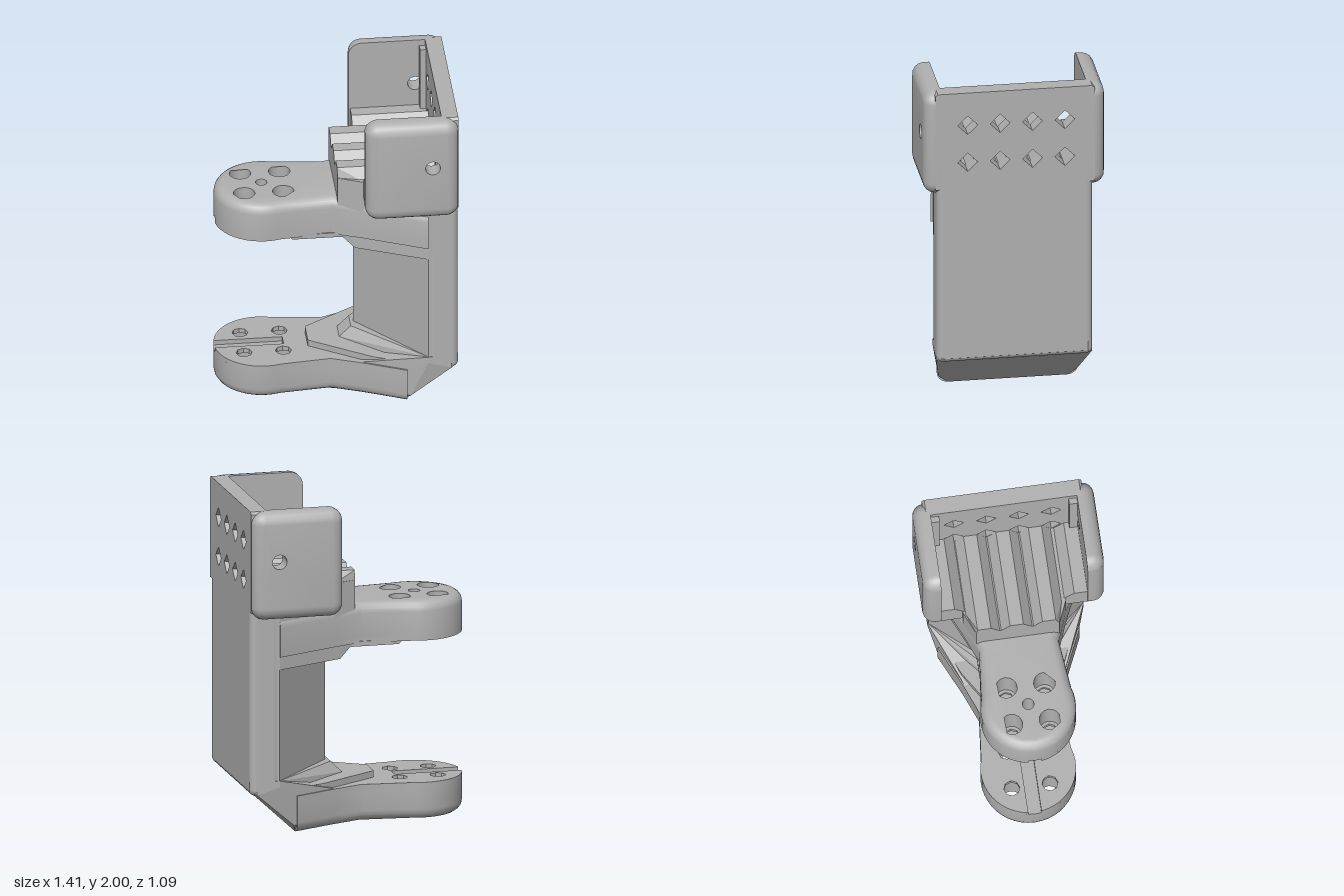
import * as THREE from 'three';
import { toCreasedNormals } from 'three/addons/utils/BufferGeometryUtils.js';
import { RoundedBoxGeometry } from 'three/addons/geometries/RoundedBoxGeometry.js';
import { ConvexGeometry } from 'three/addons/geometries/ConvexGeometry.js';

const V2 = (x, y) => new THREE.Vector2(x, y);

// Cut round holes [x, y, radius] into a shape.
function cut(shape, holes) {
  for (const [x, y, r] of holes) {
    shape.holes.push(new THREE.Path().absarc(x, y, r, 0, Math.PI * 2, true));
  }
  return shape;
}

// Slab from z = 0 to depth whose outer edge is rounded at the far side only.
// The rim moves towards a core box [x0, y0, x1, y1]; holes stay straight.
function roundedSlab(shape, holes, depth, bevel, core) {
  const steps = 5;
  const geo = new THREE.ExtrudeGeometry(cut(shape, holes), { depth, steps, bevelEnabled: false, curveSegments: 8 });
  const p = geo.attributes.position;
  for (let i = 0; i < p.count; i++) {
    const x = p.getX(i), y = p.getY(i), s = Math.round(p.getZ(i) / depth * steps);
    const a = Math.max(0, s - 1) / (steps - 1) * Math.PI / 2;
    p.setZ(i, s === 0 ? 0 : depth - bevel + bevel * Math.sin(a));
    if (holes.some(([hx, hy, r]) => Math.hypot(x - hx, y - hy) < r + 0.005)) continue;
    const cx = THREE.MathUtils.clamp(x, core[0], core[2]);
    const cy = THREE.MathUtils.clamp(y, core[1], core[3]);
    const len = Math.hypot(x - cx, y - cy);
    if (len < 1e-5) continue;
    const k = 1 - bevel * (1 - Math.cos(a)) / len;
    p.setXY(i, cx + (x - cx) * k, cy + (y - cy) * k);
  }
  return toCreasedNormals(geo, 0.5);
}

// Plan of an arm: round tip, waist, then flaring to the body.
function armPlan(xEnd, slot) {
  const w = 0.31 + 0.45 * (xEnd - 0.14);
  const side = [[xEnd, w], [0.14, 0.31], [-0.04, 0.24]];
  const pts = side.map(([x, y]) => V2(x, y));
  const arc = (from, to, n) => {
    for (let i = 0; i <= n; i++) {
      const a = (from + (to - from) * i / n) * Math.PI / 180;
      pts.push(V2(-0.43 + 0.285 * Math.cos(a), 0.285 * Math.sin(a)));
    }
  };
  if (slot) {
    arc(72, 172, 12);
    pts.push(V2(-0.3, 0.04), V2(-0.3, -0.04));
    arc(188, 288, 12);
  } else arc(72, 288, 26);
  side.reverse().forEach(([x, y]) => pts.push(V2(x, -y)));
  return new THREE.Shape(pts);
}

const boltHoles = (r) => [-0.545, -0.31].flatMap((x) => [[x, 0.115, r], [x, -0.115, r]]);

function roundedRect(w, h, r) {
  const s = new THREE.Shape();
  const x = w / 2, y = h / 2;
  s.absarc(x - r, y - r, r, 0, Math.PI / 2);
  s.absarc(-x + r, y - r, r, Math.PI / 2, Math.PI);
  s.absarc(-x + r, -y + r, r, Math.PI, Math.PI * 1.5);
  s.absarc(x - r, -y + r, r, Math.PI * 1.5, Math.PI * 2);
  return s;
}

export function createModel() {
  const group = new THREE.Group();
  const grey = new THREE.MeshStandardMaterial({ color: 0xb0b0b0 });
  grey.name = 'grey plastic';
  const add = (name, geo, x = 0, y = 0, z = 0) => {
    const m = new THREE.Mesh(geo, grey);
    m.name = name;
    m.position.set(x, y, z);
    group.add(m);
  };
  const hull = (name, pts) => add(name, new ConvexGeometry(pts.map((p) => new THREE.Vector3(...p))));
  // Hull from sections [x, y, halfWidth] mirrored in z.
  const symHull = (name, pts) => hull(name, pts.flatMap(([x, y, w]) => [[x, y, w], [x, y, -w]]));

  // Arms: rounded on the outside, with a thin slotted layer on the inner face
  const core = [-0.43, 0, 9, 0];
  const lower = roundedSlab(armPlan(0.4), boltHoles(0.065), 0.2, 0.065, core);
  add('lowerArm', lower.rotateX(Math.PI / 2), 0, 0.2, 0);
  const upper = roundedSlab(armPlan(0.52), [...boltHoles(0.065), [-0.43, 0, 0.035]], 0.21, 0.06, core);
  add('upperArm', upper.rotateX(-Math.PI / 2), 0, 1.13, 0);
  for (const [name, y, end] of [['lowerSlotFace', 0.2, 0.4], ['upperSlotFace', 1.1, 0.52]]) {
    const geo = new THREE.ExtrudeGeometry(cut(armPlan(end, true), boltHoles(0.048)),
      { depth: 0.03, bevelEnabled: false, curveSegments: 4 });
    add(name, toCreasedNormals(geo.rotateX(-Math.PI / 2), 0.5), 0, y, 0);
  }

  // Spine between the arms, with a wedge-shaped rib
  add('spine', new RoundedBoxGeometry(0.18, 1.2, 0.94, 3, 0.04), 0.61, 0.85, 0);
  symHull('rib', [0.28, 1.06].flatMap((y) => [[0.12, y, 0.005], [0.52, y, 0.465], [0.6, y, 0.465]]));

  // Sloping heel
  symHull('heel', [
    [0.1, 0, 0.23], [0.4, 0, 0.36], [0.14, 0.06, 0.3], [0.42, 0.05, 0.42], [0.14, 0.23, 0.3],
    [0.52, 0.3, 0.47], [0.66, 0.26, 0.47], [0.7, 0.28, 0.44], [0.7, 0.34, 0.44],
    [0.66, 0.34, 0.47], [0.52, 0.34, 0.47],
  ]);

  // Stepped gusset on the lower arm
  symHull('lowerPad', [0.22, 0.27].flatMap((y) => [[-0.16, y, 0.08], [0.2, y, 0.31], [0.45, y, 0.42]]));
  symHull('lowerGusset', [[0.03, 0.27, 0.06], [0.1, 0.34, 0.06], [0.52, 0.34, 0.465], [0.46, 0.24, 0.43], [0.03, 0.24, 0.06]]);

  // Shoulder and pad below the upper arm
  symHull('shoulder', [
    [0.03, 1.08, 0.25], [0.1, 1.02, 0.285], [0.52, 1.02, 0.468], [0.64, 1.02, 0.468],
    [0.64, 1.42, 0.468], [0.52, 1.42, 0.468], [0.03, 1.3, 0.25],
  ]);
  symHull('upperPad', [[-0.3, 1.11, 0.25], [-0.27, 1.08, 0.25], [0.05, 1.08, 0.25], [0.05, 1.11, 0.25]]);

  // Saddle with lengthwise ridges
  symHull('saddle', [1.2, 1.49].flatMap((y) => [[0, y, 0.25], [0.14, y, 0.31], [0.62, y, 0.36]]));
  const valleys = [0.285, 0.09, -0.105, -0.3];
  for (let i = 0; i < 3; i++) {
    const c = (valleys[i] + valleys[i + 1]) / 2;
    const pts = [];
    for (const x of [0, 0.14, 0.62]) {
      for (const [dz, y] of [[0.0975, 1.485], [0.04, 1.55]]) {
        for (const s of [-1, 1]) {
          const z = c + s * dz;
          pts.push([x, y, x === 0 ? THREE.MathUtils.clamp(z, -0.25, 0.25) : z]);
        }
      }
    }
    hull('saddleRidge', pts);
  }

  // Head plate with diamond holes lined up with the saddle valleys
  const plate = new THREE.Shape([V2(-0.48, 1.38), V2(0.48, 1.38), V2(0.48, 1.985), V2(0.465, 2), V2(-0.465, 2), V2(-0.48, 1.985)]);
  for (const z of valleys) {
    for (const y of [1.55, 1.79]) {
      // local x runs towards -z
      plate.holes.push(new THREE.Path([V2(-z - 0.06, y), V2(-z, y + 0.06), V2(-z + 0.06, y), V2(-z, y - 0.06)]));
    }
  }
  const plateGeo = new THREE.ExtrudeGeometry(plate, { depth: 0.1, bevelEnabled: false });
  add('headPlate', plateGeo.rotateY(Math.PI / 2), 0.6, 0, 0);

  // Cheeks on both sides of the head, with inner corner posts and sloping floors
  for (const s of [1, -1]) {
    const geo = roundedSlab(roundedRect(0.56, 0.66, 0.08), [[s * 0.12, 0.03, 0.045]], 0.105, 0.07,
      [-0.2, -0.25, 0.2, 0.25]);
    if (s < 0) geo.rotateY(Math.PI);
    add(s > 0 ? 'leftCheek' : 'rightCheek', geo, 0.42, 1.67, s * 0.44);
    add('cornerPost', new THREE.BoxGeometry(0.09, 0.46, 0.06), 0.61, 1.73, s * 0.42);
    hull('cheekFloor', [0.15, 0.62].flatMap((x) => [
      [x, 1.38, s * 0.3], [x, 1.49, s * 0.3], [x, 1.55, s * 0.36], [x, 1.55, s * 0.45], [x, 1.38, s * 0.45],
    ]));
  }
  return group;
}
